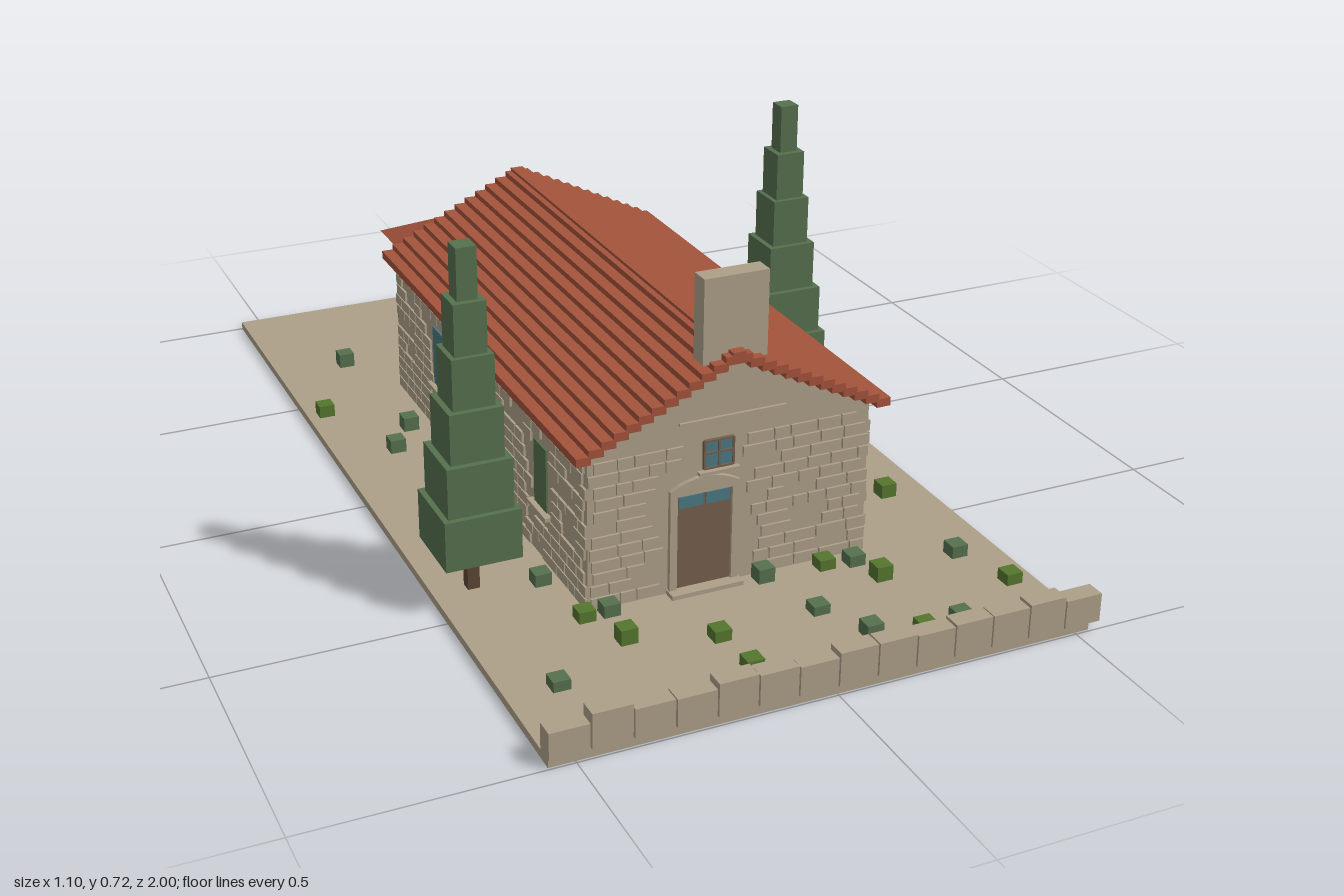
import * as THREE from 'three';

const mat = (name, color) => Object.assign(new THREE.MeshStandardMaterial({ color }), { name });

export function createModel() {
  const root = new THREE.Group();
  root.name = 'countryChapel';
  const stone = mat('limestone', 0xada088);
  const tile = mat('terracotta', 0xa3533b);
  const glass = mat('blueGlass', 0x4b7882);
  const wood = mat('doorWood', 0x75604e);
  const leaf = mat('cypressGreen', 0x55704e);
  const bark = mat('bark', 0x5c4535);
  const moss = mat('shrubGreen', 0x55762f);

  let seed = 7;
  const rand = () => (seed = (seed * 16807) % 2147483647) / 2147483647;

  const group = (name, parent = root) => {
    const g = new THREE.Group();
    g.name = name;
    parent.add(g);
    return g;
  };
  const add = (name, geo, material, parent = root) => {
    const m = new THREE.Mesh(geo, material);
    m.name = name;
    parent.add(m);
    return m;
  };
  // Box given by its minimum and maximum corners
  const box = (name, material, x0, x1, y0, y1, z0, z1, parent = root) => {
    const m = add(name, new THREE.BoxGeometry(x1 - x0, y1 - y0, z1 - z0), material, parent);
    m.position.set((x0 + x1) / 2, (y0 + y1) / 2, (z0 + z1) / 2);
    return m;
  };

  const CX = -0.012, HALF = 0.293, FRONT = 0.59, BACK = -0.5, G = 0.017;
  const WX0 = CX - HALF, WX1 = CX + HALF;

  // Ground slab and low boundary wall
  box('ground', stone, -0.55, 0.53, 0, G, -1, 0.995);
  const fence = group('boundaryWall');
  for (let i = 0; i < 14; i++) {
    const x = -0.55 + i * 0.0788;
    box('wallBlock', stone, x, x + 0.0755, G, 0.07 + rand() * 0.019, 0.962, 1, fence);
  }

  // Nave with gabled ends
  const gable = new THREE.Shape([[WX0, G], [WX1, G], [WX1, 0.34], [CX, 0.488], [WX0, 0.34]]
    .map(p => new THREE.Vector2(...p)));
  add('naveWalls', new THREE.ExtrudeGeometry(gable, { depth: FRONT - BACK, bevelEnabled: false }), stone)
    .position.z = BACK;
  box('gableLedge', stone, -0.122, 0.1, 0.366, 0.371, FRONT, FRONT + 0.006);

  // Roof: overlapping tile strips stepping down from the ridge
  const roof = group('naveRoof');
  const N = 13;
  for (let i = 0; i < N; i++) {
    for (const s of [-1, 1]) {
      const x = CX + s * (0.0125 + i * 0.0248), y = 0.49 - i * 0.0122;
      box('tileStrip', tile, x - 0.0148, x + 0.0148, y - 0.0085, y + 0.0085, BACK, 0.615, roof);
    }
  }
  box('ridgeTile', tile, CX - 0.014, CX + 0.014, 0.49, 0.505, BACK, 0.615, roof);

  // Bell wall over the front gable
  box('bellWall', stone, -0.077, 0.055, 0.48, 0.65, 0.555, 0.595);

  // Apse: stepped plan extruded upward
  const steps = [[0.25, -0.5], [0.25, -0.58], [0.2, -0.58], [0.2, -0.65], [0.148, -0.65],
    [0.148, -0.7], [0.09, -0.7], [0.09, -0.742]];
  const plan = new THREE.Shape([
    ...steps.map(([x, z]) => new THREE.Vector2(CX + x, -z)),
    ...steps.slice().reverse().map(([x, z]) => new THREE.Vector2(CX - x, -z)),
  ]);
  const apse = add('apseWalls', new THREE.ExtrudeGeometry(plan, { depth: 0.287, bevelEnabled: false }), stone);
  apse.rotation.x = -Math.PI / 2;
  apse.position.y = G;

  // Apse roof: a truncated pyramid, half of it inside the nave
  const hip = new THREE.BoxGeometry(1, 0.1, 1);
  const hp = hip.attributes.position;
  for (let i = 0; i < hp.count; i++) {
    const top = hp.getY(i) > 0;
    hp.setX(i, hp.getX(i) * (top ? 0.09 : 0.5));
    hp.setZ(i, hp.getZ(i) * (top ? 0.1 : 0.5));
  }
  hip.computeVertexNormals();
  add('apseRoof', hip, tile).position.set(CX, 0.352, BACK);

  // Raised masonry: place(u0, u1, y0, y1) draws a stone, skip(u0, u1, y0, y1) keeps openings free
  const masonry = (u0, u1, skip, place) => {
    for (let y = G + 0.004; y < 0.318; y += 0.0255) {
      let u = u0 + rand() * 0.015;
      while (u < u1 - 0.02) {
        const e = Math.min(u + 0.028 + rand() * 0.04, u1);
        if (!skip(u, e, y, y + 0.022) && rand() > 0.1) place(u, e, y, y + 0.022);
        u = e + 0.004;
      }
    }
  };
  const hits = (a0, a1, b0, b1) => a0 < b1 && a1 > b0;
  const stones = group('raisedStones');
  masonry(WX0, WX1,
    (a, b, y0, y1) => (hits(a, b, -0.15, 0.012) && y0 < 0.265) || (hits(a, b, -0.085, 0.005) && y1 > 0.255),
    (a, b, y0, y1) => box('frontStone', stone, a, b, y0, y1, FRONT - 0.005, FRONT + 0.005, stones));
  masonry(WX0, WX1,
    (a, b) => hits(a, b, CX - 0.25, CX + 0.25),
    (a, b, y0, y1) => box('backStone', stone, a, b, y0, y1, BACK - 0.005, BACK + 0.005, stones));

  // Side walls: stones, windows and sills
  const windowZ = [0.368, 0.075, -0.218];
  const paints = { '-1': [leaf, leaf, glass], 1: [glass, leaf, glass] };
  for (const s of [-1, 1]) {
    const wx = CX + s * HALF;
    masonry(BACK, FRONT,
      (a, b, y0, y1) => windowZ.some(z => hits(a, b, z - 0.036, z + 0.036)) && hits(y0, y1, 0.118, 0.268),
      (a, b, y0, y1) => box('sideStone', stone, wx - 0.005, wx + 0.005, y0, y1, a, b, stones));
    windowZ.forEach((z, i) => {
      const win = group('sideWindow');
      box('pane', paints[s][i], wx - 0.004, wx + 0.004, 0.13, 0.264, z - 0.031, z + 0.031, win);
      box('sill', stone, wx - 0.014, wx + 0.014, 0.12, 0.128, z - 0.048, z + 0.048, win);
    });
  }

  // Entrance: arched stone surround, door leaf and transom panes
  const door = group('entrance');
  const DX = -0.069;
  const arch = new THREE.Shape();
  arch.moveTo(DX - 0.072, G).lineTo(DX - 0.057, G).lineTo(DX - 0.057, 0.223).lineTo(DX + 0.057, 0.223)
    .lineTo(DX + 0.057, G).lineTo(DX + 0.072, G).lineTo(DX + 0.072, 0.235)
    .quadraticCurveTo(DX, 0.277, DX - 0.072, 0.235);
  add('doorSurround', new THREE.ExtrudeGeometry(arch, { depth: 0.012, bevelEnabled: false, curveSegments: 8 }), stone, door)
    .position.z = FRONT - 0.002;
  box('doorLeaf', wood, DX - 0.057, DX + 0.057, G, 0.223, FRONT - 0.002, FRONT + 0.004, door);
  for (const s of [-1, 1]) {
    const x = DX + s * 0.028;
    box('transomPane', glass, x - 0.025, x + 0.025, 0.196, 0.22, FRONT, FRONT + 0.007, door);
  }
  box('doorStep', stone, DX - 0.075, DX + 0.075, G, 0.026, FRONT, FRONT + 0.03, door);

  // Small window above the door
  const upper = group('upperWindow');
  box('pane', glass, -0.068, -0.012, 0.27, 0.323, FRONT - 0.002, FRONT + 0.004, upper);
  box('mullion', wood, -0.042, -0.038, 0.27, 0.323, FRONT, FRONT + 0.007, upper);
  box('transom', wood, -0.068, -0.012, 0.298, 0.302, FRONT, FRONT + 0.007, upper);
  for (const x of [-0.07, -0.01]) box('frameSide', wood, x - 0.002, x + 0.002, 0.268, 0.326, FRONT, FRONT + 0.007, upper);
  for (const y of [0.269, 0.325]) box('frameRail', wood, -0.07, -0.01, y - 0.002, y + 0.002, FRONT, FRONT + 0.007, upper);
  box('sill', stone, -0.082, 0.002, 0.257, 0.264, FRONT, FRONT + 0.012, upper);

  // Cypresses: stacked square tiers
  const tiers = [0.152, 0.13, 0.106, 0.083, 0.064, 0.04];
  for (const [x, z] of [[-0.47, 0.415], [0.446, -0.083]]) {
    const tree = group('cypress');
    box('trunk', bark, x - 0.012, x + 0.012, G, 0.12, z - 0.012, z + 0.012, tree);
    tiers.forEach((w, i) => box('foliage', leaf, x - w / 2, x + w / 2,
      0.102 + i * 0.1025, 0.102 + (i + 1) * 0.1025, z - w / 2, z + w / 2, tree));
  }

  // Scattered cube shrubs
  const shrubs = group('shrubs');
  [[-0.18, -0.83], [0.17, -0.78], [0.33, -0.86], [0.34, -0.83], [0.3, -0.69], [-0.39, -0.66], [-0.51, -0.42],
    [-0.36, -0.28], [0.49, -0.29], [-0.42, -0.19], [-0.41, 0.08], [-0.355, 0.09], [-0.46, 0.22], [0.44, 0.19],
    [0.44, 0.41], [-0.345, 0.455], [-0.28, 0.71], [-0.45, 0.8], [-0.12, 0.77], [0.09, 0.76], [-0.11, 0.88],
    [0.14, 0.87], [0.23, 0.91], [0.32, 0.89], [0.26, 0.7], [0.44, 0.68], [0.48, 0.81], [-0.27, 0.61],
    [-0.32, 0.61], [0.05, 0.615], [0.18, 0.62], [0.24, 0.63],
  ].forEach(([x, z], i) => box('shrub', i % 2 ? leaf : moss, x - 0.017, x + 0.017,
    G, 0.036 + rand() * 0.014, z - 0.017, z + 0.017, shrubs));

  return root;
}
